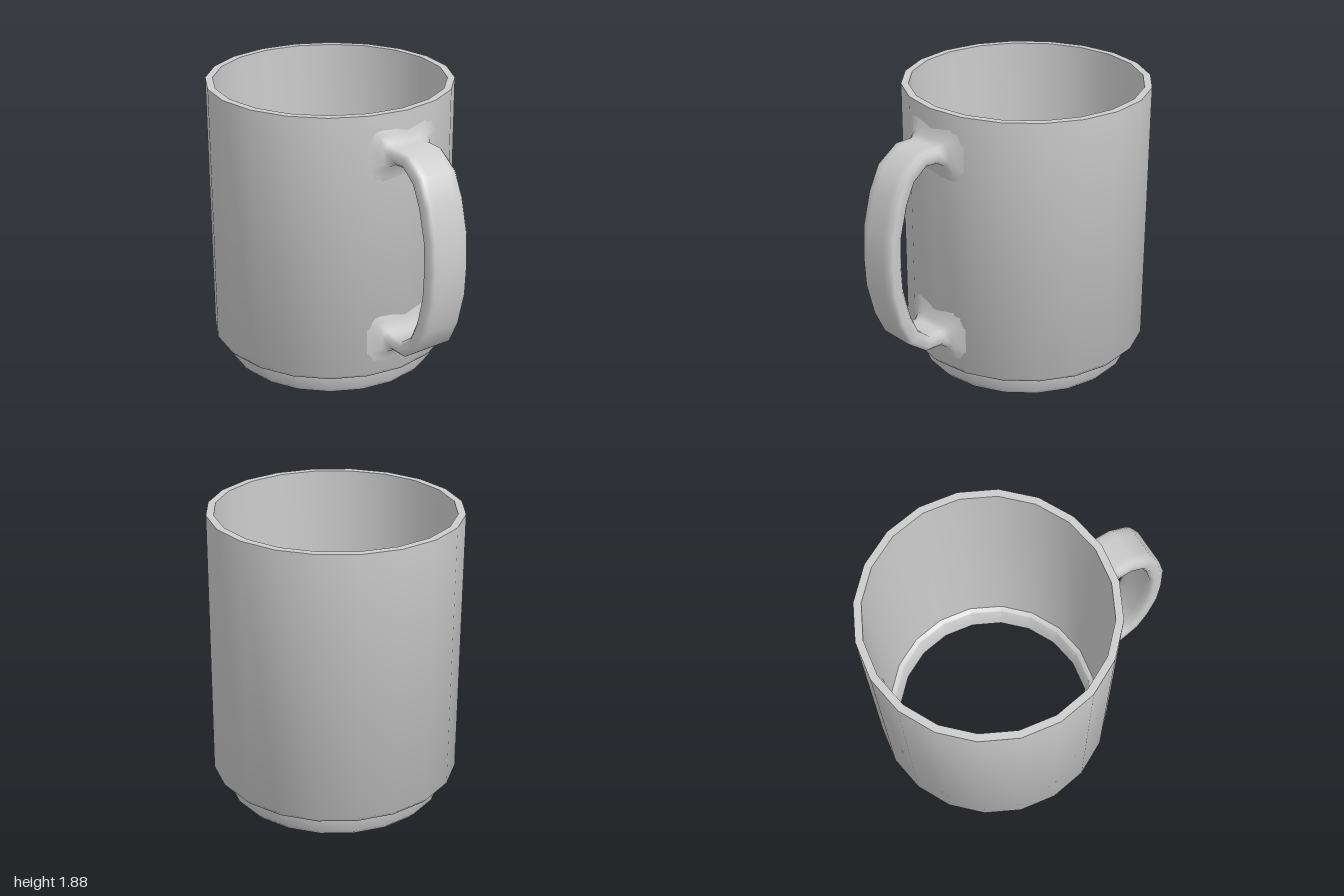
import * as THREE from 'three';
import { toCreasedNormals } from 'three/addons/utils/BufferGeometryUtils.js';

const CX = -0.22; // axis of the cup
const MID = 1.01; // height the handle is symmetric about
const material = new THREE.MeshStandardMaterial({ color: 0xcccccc });

// x of the middle of the cup wall at a given z
const wall = z => CX + Math.sqrt(0.765 ** 2 - z * z);

// Bevelled rectangle, u across the handle and v through its thickness
function section(h, t, c) {
  const half = [[h, -(t - c)], [h, t - c], [h - c, t], [h / 2, t], [0, t], [-h / 2, t], [-(h - c), t]];
  return [...half, ...half.map(([u, v]) => [-u, -v])];
}

// Cup shell: outside going up, over the rim, inside going down, open at the foot
function createCup() {
  const profile = [
    [0.655, 0], [0.683, 0.03], [0.683, 0.148], [0.755, 0.148], [0.782, 0.178],
    [0.782, 1.88], [0.735, 1.88], [0.71, 0.18], [0.678, 0.165], [0.655, 0],
  ].map(([r, y]) => new THREE.Vector2(r, y));
  const cup = new THREE.Mesh(toCreasedNormals(new THREE.LatheGeometry(profile, 20), 1), material);
  cup.position.x = CX;
  cup.name = 'cup';
  return cup;
}

// Handle: sections swept along an arch, flaring out into the wall at both ends
function createHandle() {
  // x, height above the middle, half width, half thickness, bevel, how far it follows the wall
  const upper = [
    [0.546, 0.605, 0.40, 0.19, 0.08, 1],
    [0.564, 0.61, 0.24, 0.13, 0.05, 1],
    [0.578, 0.615, 0.17, 0.073, 0.03, 0.8],
    [0.61, 0.615, 0.14, 0.047, 0.022, 0],
    [0.71, 0.615, 0.14, 0.047, 0.022, 0],
    [0.825, 0.53, 0.14, 0.05, 0.022, 0],
    [0.89, 0.39, 0.14, 0.05, 0.022, 0],
    [0.94, 0.19, 0.14, 0.05, 0.022, 0],
  ];
  const lower = upper.map(([x, y, ...rest]) => [x, -y, ...rest]).reverse();
  const stations = [...upper, [0.95, 0, 0.14, 0.05, 0.022, 0], ...lower];

  const positions = [], index = [], n = 14, last = stations.length - 1;
  stations.forEach(([x, y, h, t, c, follow], i) => {
    const a = stations[Math.max(i - 1, 0)], b = stations[Math.min(i + 1, last)];
    // the root sections stay upright, the arch turns with its path
    const upright = i < 4 || i > last - 4;
    const dir = upright
      ? new THREE.Vector2(i < 4 ? 1 : -1, 0)
      : new THREE.Vector2(b[0] - a[0], b[1] - a[1]).normalize();
    for (const [u, v] of section(h, t, c)) {
      positions.push(x - dir.y * v + follow * (wall(u) - wall(0)), MID + y + dir.x * v, u);
    }
    if (i === last) return;
    for (let j = 0; j < n; j++) {
      const p = i * n + j, q = i * n + (j + 1) % n;
      index.push(p, p + n, q, q, p + n, q + n);
    }
  });

  const geometry = new THREE.BufferGeometry();
  geometry.setAttribute('position', new THREE.Float32BufferAttribute(positions, 3));
  geometry.setIndex(index);
  geometry.computeVertexNormals();
  const handle = new THREE.Mesh(geometry, material);
  handle.name = 'handle';
  return handle;
}

export function createModel() {
  const mug = new THREE.Group();
  mug.name = 'mug';
  mug.add(createCup(), createHandle());
  return mug;
}
